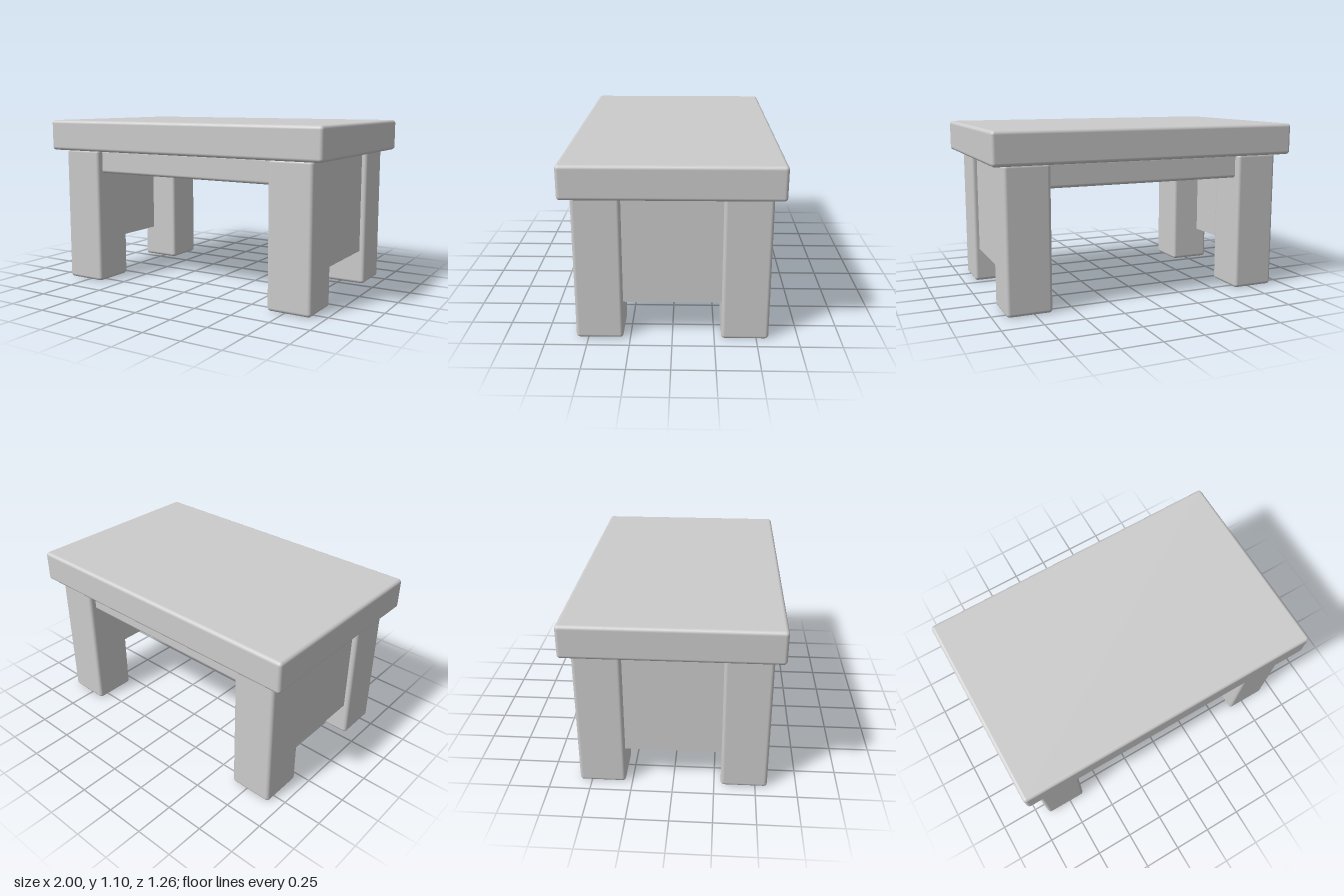
import * as THREE from 'three';
import { RoundedBoxGeometry } from 'three/addons/geometries/RoundedBoxGeometry.js';

export function createModel() {
  const table = new THREE.Group();
  table.name = 'table';
  const material = new THREE.MeshStandardMaterial({ color: 0xcccccc });

  // Adds a box spanning the given min/max corners; radius 0 keeps sharp edges.
  function addBox(name, [x0, y0, z0], [x1, y1, z1], radius = 0) {
    const size = [x1 - x0, y1 - y0, z1 - z0];
    const geometry = radius
      ? new RoundedBoxGeometry(...size, 4, radius)
      : new THREE.BoxGeometry(...size);
    const mesh = new THREE.Mesh(geometry, material);
    mesh.name = name;
    mesh.position.set((x0 + x1) / 2, (y0 + y1) / 2, (z0 + z1) / 2);
    table.add(mesh);
  }

  // Thick slab top
  addBox('tableTop', [-1, 0.893, -0.632], [1, 1.095, 0.632], 0.022);

  // Shallow solid body under the top, between the side panels
  addBox('underBody', [-0.86, 0.742, -0.53], [0.86, 0.9, 0.53], 0.02);

  for (const [side, sx] of [['Left', 1], ['Right', -1]]) {
    // Thin panel joining the front and back legs on each side
    const px = sx * 0.863;
    addBox(`sidePanel${side}`, [px - 0.023, 0.225, -0.32], [px + 0.023, 0.9, 0.32]);

    // Chunky square legs
    for (const [end, sz] of [['front', 1], ['back', -1]]) {
      const x = sx * 0.78, z = sz * 0.432, half = 0.141;
      addBox(`${end}Leg${side}`, [x - half, 0, z - half], [x + half, 0.9, z + half], 0.022);
    }
  }
  return table;
}
